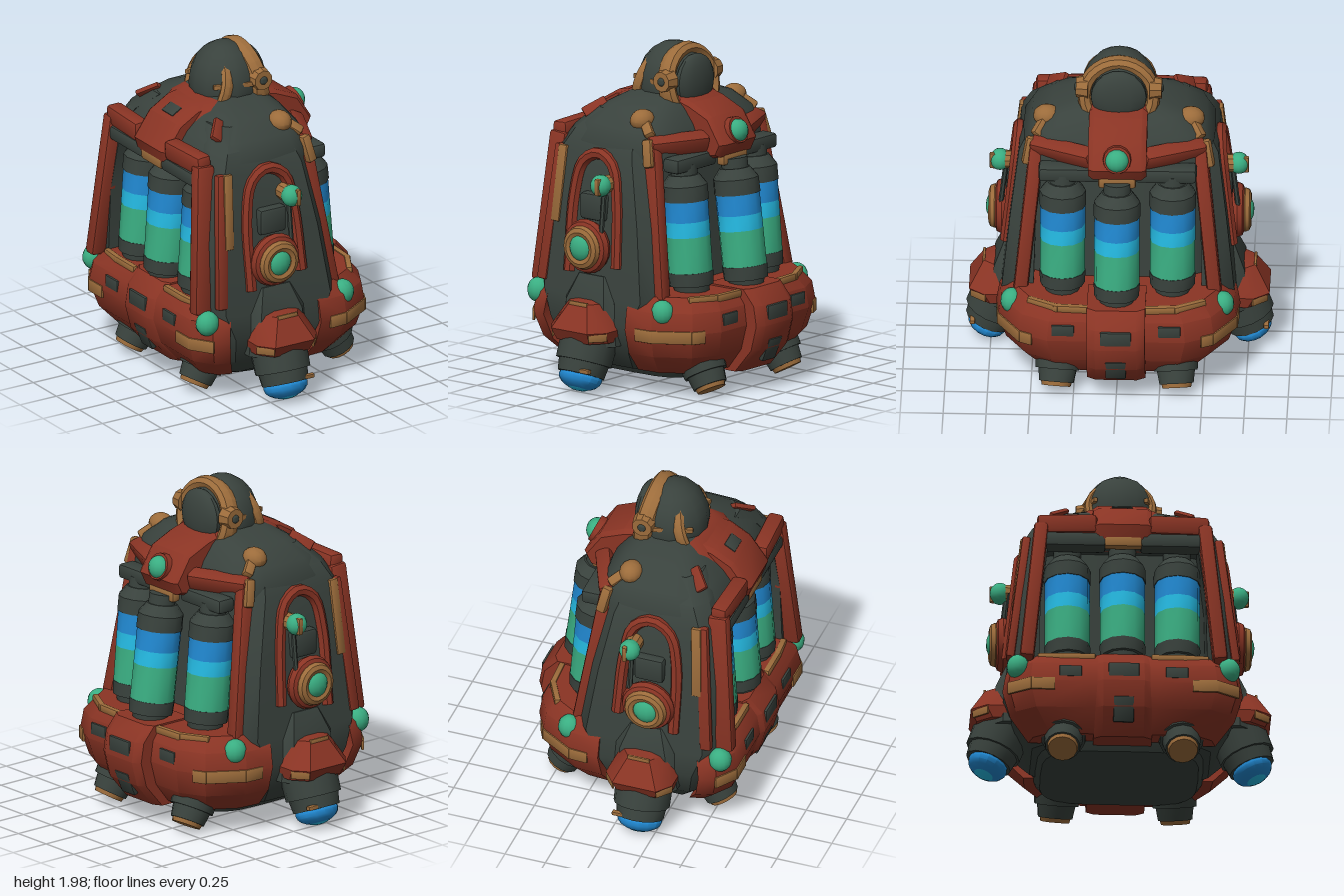
import * as THREE from 'three';
import { toCreasedNormals } from 'three/addons/utils/BufferGeometryUtils.js';
import { RoundedBoxGeometry } from 'three/addons/geometries/RoundedBoxGeometry.js';

const mat = (name, color) => Object.assign(new THREE.MeshStandardMaterial({ color }), { name });

export function createModel() {
  const root = new THREE.Group();
  root.name = 'pod';
  const red = mat('rust red', 0x8a3424), dark = mat('dark metal', 0x39423d), brass = mat('brass', 0x9c6c3b);
  const green = mat('green glow', 0x3aae82), blue = mat('blue glow', 0x2189d2), cyan = mat('cyan glow', 0x25bbe4);
  const V = (x, y, z) => new THREE.Vector3(x, y, z);

  const add = (name, geo, material, pos) => {
    const m = new THREE.Mesh(toCreasedNormals(geo, 0.6), material);
    m.name = name;
    if (pos) m.position.copy(pos);
    root.add(m);
    return m;
  };
  const aim = (m, p, q) => {
    m.position.copy(p).lerp(q, 0.5);
    m.quaternion.setFromUnitVectors(V(0, 1, 0), q.clone().sub(p).normalize());
    return m;
  };
  // rounded bar and tapered cylinder between two points
  const beam = (name, p, q, w, d, material) =>
    aim(add(name, new RoundedBoxGeometry(w, p.distanceTo(q), d, 1, Math.min(w, d) * 0.25), material), p, q);
  const rod = (name, p, q, rp, rq, material, sides = 14) =>
    aim(add(name, new THREE.CylinderGeometry(rq, rp, p.distanceTo(q), sides), material), p, q);
  const box = (name, w, h, d, material, x, y, z) =>
    add(name, new RoundedBoxGeometry(w, h, d, 1, Math.min(w, h, d) * 0.25), material, V(x, y, z));
  // level strip between two points of one height
  const strip = (name, p, q, h, t, material) => {
    const c = p.clone().lerp(q, 0.5);
    box(name, p.distanceTo(q) + t, h, t, material, c.x, c.y, c.z).rotation.y = Math.atan2(p.z - q.z, q.x - p.x);
  };
  const ball = (name, rx, ry, rz, material, x, y, z) =>
    add(name, new THREE.SphereGeometry(1, 14, 10).scale(rx, ry, rz), material, V(x, y, z));

  // skin over stacked rings of points, closed at both ends, facing outwards
  const loft = (name, rings, material) => {
    const n = rings[0].length, tris = [];
    const mid = r => r.reduce((a, p) => a.add(p), V(0, 0, 0)).divideScalar(n);
    const first = rings[0], last = rings[rings.length - 1];
    const c0 = mid(first), c1 = mid(last);
    for (let i = 0; i < n; i++) {
      const j = (i + 1) % n;
      for (let k = 0; k + 1 < rings.length; k++) {
        const a = rings[k], b = rings[k + 1];
        tris.push([a[i], b[i], a[j]], [a[j], b[i], b[j]]);
      }
      tris.push([c0, first[i], first[j]], [c1, last[j], last[i]]);
    }
    const volume = tris.reduce((s, [a, b, c]) => s + a.clone().sub(c0).dot(b.clone().sub(c0).cross(c.clone().sub(c0))), 0);
    const pts = tris.flatMap(([a, b, c]) => (volume > 0 ? [a, b, c] : [a, c, b]));
    return add(name, new THREE.BufferGeometry().setFromPoints(pts), material);
  };
  // rounded rectangular section: height, x range, half depth
  const oval = ([y, x0, x1, zh]) => Array.from({ length: 28 }, (_, i) => {
    const t = i / 28 * Math.PI * 2, f = v => Math.sign(v) * Math.sqrt(Math.abs(v));
    return V((x0 + x1) / 2 + (x1 - x0) / 2 * f(Math.cos(t)), y, zh * f(Math.sin(t)));
  });

  // hull
  loft('belly', [[0.1, -0.4, 0.34, 0.46], [0.2, -0.46, 0.39, 0.53], [0.35, -0.52, 0.46, 0.6],
    [0.58, -0.55, 0.42, 0.62]].map(oval), dark);
  loft('core', [[0.55, -0.4, 0.19, 0.55], [1.45, -0.4, 0.12, 0.52]].map(oval), dark);
  loft('roof', [[1.36, -0.55, 0.25, 0.56], [1.46, -0.53, 0.24, 0.56], [1.56, -0.46, 0.2, 0.51],
    [1.65, -0.36, 0.13, 0.39], [1.72, -0.25, 0.05, 0.2]].map(oval), dark);
  const face = y => 0.737 - 0.112 * y;
  for (const s of [1, -1]) {
    loft('endWall', [[0.14, -0.4, 0.1, 0.52], [0.25, -0.48, 0.15, 0.62], [0.42, -0.52, 0.2, 0.69], [0.58, -0.58, 0.28, 0.675],
      [1, -0.57, 0.22, 0.63], [1.4, -0.53, 0.14, 0.58], [1.52, -0.47, 0.1, 0.52], [1.63, -0.38, 0.06, 0.4]].map(([y, a, b, z]) => {
      const zi = Math.min(0.49, z - 0.15);
      return [[a, zi], [a, z - 0.08], [a + 0.07, z], [b - 0.07, z], [b, z - 0.08], [b, zi]].map(([x, w]) => V(x, y, s * w));
    }), dark);
  }

  // armoured base, one shell on each long side
  const levels = [[0.15, 0.8], [0.27, 0.96], [0.42, 1.03], [0.54, 1], [0.62, 0.9]];
  const half = { 1: [[0.12, 0.69], [0.3, 0.675], [0.5, 0.55], [0.58, 0.39]], [-1]: [[-0.48, 0.68], [-0.58, 0.65], [-0.66, 0.53], [-0.66, 0.2]] };
  for (const d of [1, -1]) {
    const outline = [...half[d], ...half[d].slice().reverse().map(([x, z]) => [x, -z])];
    loft('baseArmour', levels.map(([y, k]) => outline.map(([x, z]) => V(x * k, y, z * k))), red);
    loft('baseCentreBlock', [[0.13, 0.54], [0.27, 0.66], [0.42, 0.7], [0.54, 0.68], [0.63, 0.6]].map(([y, x]) =>
      [[0.3, -0.17], [x - 0.03, -0.17], [x, -0.12], [x, 0.12], [x - 0.03, 0.17], [0.3, 0.17]].map(([a, z]) => V(d * a, y, z))), red);
    box('centreSlot', 0.03, 0.09, 0.18, dark, d * 0.682, 0.49, 0);
    beam('lowerVent', V(d * 0.61, 0.19, 0), V(d * 0.668, 0.33, 0), 0.03, 0.12, dark);
    for (const s of [1, -1]) {
      box('sideSlot', 0.02, 0.07, 0.13, dark, d > 0 ? 0.585 : -0.667, 0.485, s * 0.31);
      // brass strips round the corners
      const [p, q, r] = half[d].slice(1).map(([x, z]) => V(x * 1.026, 0.4, s * z * 1.026));
      strip('cornerTrim', p, q, 0.075, 0.015, brass);
      strip('cornerTrim', q, q.clone().lerp(r, 0.4), 0.075, 0.015, brass);
      if (d > 0) strip('cornerTrim', V(0.2, 0.4, s * 0.699), p, 0.075, 0.015, brass);
      ball('cornerLamp', 0.07, 0.075, 0.065, green, d > 0 ? 0.33 : -0.6, 0.535, s * 0.615);
      // sill trim along the upper edge
      const sill = d > 0 ? [V(0.54, 0.605, s * 0.18), V(0.53, 0.605, s * 0.35), V(0.45, 0.605, s * 0.5)]
        : [V(-0.6, 0.605, s * 0.18), V(-0.6, 0.605, s * 0.36), V(-0.59, 0.605, s * 0.48)];
      strip('sillTrim', sill[0], sill[1], 0.045, 0.035, brass);
      strip('sillTrim', sill[1], sill[2], 0.045, 0.035, brass);
      // small splayed feet
      const top = d > 0 ? V(0.33, 0.33, s * 0.33) : V(-0.37, 0.33, s * 0.33);
      const end = d > 0 ? V(0.475, 0.065, s * 0.35) : V(-0.52, 0.065, s * 0.35);
      const along = t => top.clone().lerp(end, t);
      rod('foot', top, along(0.72), 0.15, 0.13, dark);
      rod('footCollar', along(0.62), along(0.97), 0.118, 0.102, dark);
      rod('footPad', along(0.95), along(1.05), 0.093, 0.085, brass);
    }
  }

  // window frames with three glowing canisters on each long side
  for (const d of [1, -1]) {
    const at = (y, z) => V(d > 0 ? 0.355 - 0.155 * y : -0.66 + 0.08 * y, y, z);
    for (const s of [1, -1]) {
      beam('framePost', at(0.58, s * 0.565), at(1.47, s * 0.475), 0.12, 0.085, red);
      const bar = V(d > 0 ? 0.28 : -0.56, 1.47, s * 0.15);
      beam('frameTop', at(1.47, s * 0.5), bar, 0.1, 0.12, red);
      beam('frameTopLip', V(bar.x - d * 0.02, 1.37, s * 0.46), V(bar.x - d * 0.02, 1.37, s * 0.1), 0.12, 0.09, dark);
    }
    for (const k of [-1, 0, 1]) {
      const mid = k === 0;
      const lo = d > 0 ? (mid ? 0.46 : 0.31) : (mid ? -0.5 : -0.47);
      const hi = d > 0 ? (mid ? 0.37 : 0.25) : (mid ? -0.45 : -0.42);
      const p = y => V(lo + (hi - lo) * (y - 0.6) / 0.7, y, k * 0.32);
      const part = (name, y0, y1, r0, r1, m) => rod(name, p(y0), p(y1), r0, r1, m, 12);
      part('canisterBase', 0.58, 0.66, 0.1, 0.11, dark);
      part('canisterBase', 0.65, 0.73, 0.13, 0.135, dark);
      part('canisterLiquid', 0.73, 0.94, 0.132, 0.132, green);
      part('canisterMiddle', 0.94, 1.03, 0.132, 0.132, cyan);
      part('canisterTop', 1.03, 1.15, 0.132, 0.132, blue);
      part('canisterCap', 1.15, 1.24, 0.137, 0.135, dark);
      part('canisterCap', 1.24, 1.3, 0.135, 0.09, dark);
      part('canisterNeck', 1.29, 1.36, 0.08, 0.08, dark);
    }
  }

  // strap over the roof
  const strap = new THREE.Shape([[-0.2, 1.69], [-0.38, 1.66], [-0.5, 1.59], [-0.6, 1.45], [-0.58, 1.39], [-0.45, 1.38],
    [-0.3, 1.5], [0.1, 1.5], [0.25, 1.38], [0.36, 1.4], [0.39, 1.46], [0.3, 1.6], [0.16, 1.66], [0.05, 1.69]]
    .map(([x, y]) => new THREE.Vector2(x, y)));
  add('roofStrap', new THREE.ExtrudeGeometry(strap, { depth: 0.28, bevelSize: 0.02, bevelThickness: 0.03, bevelSegments: 1 }), red, V(0, 0, -0.14));
  loft('strapCollar', [[1.6, -0.43, 0.14, 0.25], [1.67, -0.37, 0.12, 0.24], [1.71, -0.29, 0.09, 0.2]].map(oval), red);
  beam('strapPlate', V(-0.485, 1.617, 0), V(-0.42, 1.655, 0), 0.02, 0.12, dark);
  rod('strapLampRing', V(0.33, 1.5, 0), V(0.4, 1.53, 0), 0.09, 0.08, red);
  ball('strapLamp', 0.06, 0.07, 0.07, green, 0.39, 1.52, 0);
  box('strapClip', 0.06, 0.07, 0.22, brass, 0.35, 1.36, 0);
  box('strapClip', 0.06, 0.07, 0.22, brass, -0.57, 1.36, 0);

  // roof dome with a hoop and a dark window at each end
  ball('dome', 0.21, 0.25, 0.22, dark, -0.09, 1.74, 0);
  const hoop = (x, y, r, t, tilt) => {
    const g = new THREE.TorusGeometry(r, t, 8, 28).rotateY(Math.PI / 2).scale(1.4, 1, 1).rotateZ(tilt);
    add('domeHoop', g, brass, V(x, y, 0));
  };
  hoop(0.025, 1.755, 0.2, 0.042, 0.18);
  hoop(-0.2, 1.745, 0.185, 0.028, -0.3);
  ball('domeWindow', 0.06, 0.165, 0.165, dark, 0.07, 1.77, 0);

  for (const s of [1, -1]) {
    const on = (x, y, o = 0) => V(x, y, s * (face(y) + o));
    rod('domeHinge', V(0.02, 1.8, s * 0.18), V(0.02, 1.8, s * 0.25), 0.075, 0.06, brass, 10);
    ball('domeRivet', 0.025, 0.025, 0.012, dark, 0.02, 1.8, s * 0.25);
    strip('domeBand', V(-0.25, 1.78, s * 0.15), V(-0.03, 1.78, s * 0.215), 0.03, 0.025, brass);
    // brass bracket from the roof down to the window frame
    ball('roofKnob', 0.07, 0.065, 0.08, brass, 0.02, 1.605, s * 0.42);
    beam('roofRib', V(0.04, 1.6, s * 0.42), V(0.13, 1.53, s * 0.48), 0.07, 0.06, brass);
    beam('bracketLeg', V(0.13, 1.52, s * 0.5), V(0.165, 1.36, s * 0.53), 0.07, 0.06, brass);
    beam('roofStripe', V(-0.42, 1.58, s * 0.42), V(-0.33, 1.65, s * 0.32), 0.07, 0.03, red);

    // arched panel on each end wall
    const arch = [[-0.33, 0.7], [-0.33, 1.15], [-0.28, 1.35], [-0.17, 1.41], [-0.06, 1.35], [-0.01, 1.15], [0.02, 0.76]].map(([x, y]) => on(x, y, 0.005));
    add('arch', new THREE.TubeGeometry(new THREE.CatmullRomCurve3(arch), 30, 0.036, 7), red);
    beam('endTrim', on(-0.46, 0.97), on(-0.44, 1.42), 0.06, 0.03, brass);
    beam('endStripe', on(-0.53, 0.62, -0.01), on(-0.47, 1.42, -0.02), 0.07, 0.05, red);
    box('archBlock', 0.18, 0.16, 0.08, dark, -0.17, 1.1, s * 0.62);

    // round lamp, upper lamp and its post
    const ring = (r, t, o, m) => add('lampRing', new THREE.TorusGeometry(r, t, 8, 20), m, on(-0.18, 0.87, o));
    ring(0.12, 0.042, 0.045, red);
    ring(0.095, 0.035, 0.09, brass);
    rod('lampSeat', on(-0.18, 0.87, -0.03), on(-0.18, 0.87, 0.08), 0.13, 0.1, dark);
    ball('roundLamp', 0.085, 0.088, 0.06, green, -0.185, 0.87, s * 0.722);
    rod('lampPost', on(-0.07, 0.95, 0.06), on(-0.07, 1.22, 0.06), 0.015, 0.015, dark, 6);
    rod('upperLampArm', on(-0.07, 1.25, -0.03), on(-0.07, 1.25, 0.08), 0.05, 0.055, brass, 10);
    ball('upperLamp', 0.063, 0.065, 0.06, green, -0.07, 1.25, s * 0.695);
    beam('upperLampBand', V(-0.055, 1.2, s * 0.725), V(-0.055, 1.3, s * 0.725), 0.03, 0.06, brass);

    // big end leg with red hood and glowing tip
    loft('legHousing', [[0.3, 0.2, 0.74], [0.55, 0.18, 0.73], [0.7, 0.13, 0.67]].map(([y, w, z]) =>
      [[-w, 0.5], [-w, z - 0.05], [-w + 0.04, z], [w - 0.04, z], [w, z - 0.05], [w, 0.5]].map(([x, q]) => V(x - 0.16, y, s * q))), dark);
    loft('legHood', [[0.33, 0.19, 0.84], [0.4, 0.205, 0.875], [0.55, 0.135, 0.79], [0.57, 0.115, 0.7]].map(([y, w, z]) =>
      [[-w, 0.6], [-w, z - 0.09], [-w + 0.07, z], [w - 0.07, z], [w, z - 0.09], [w, 0.6]].map(([x, q]) => V(x - 0.16, y, s * q))), red);
    strip('hoodTrim', V(-0.22, 0.545, s * 0.79), V(-0.1, 0.545, s * 0.79), 0.03, 0.015, brass);
    for (const e of [1, -1]) strip('hoodSideTrim', V(-0.16 + e * 0.198, 0.375, s * 0.78), V(-0.16 + e * 0.135, 0.375, s * 0.857), 0.055, 0.012, brass);
    rod('leg', V(-0.16, 0.4, s * 0.66), V(-0.16, 0.19, s * 0.74), 0.17, 0.165, dark);
    rod('legCuff', V(-0.16, 0.2, s * 0.735), V(-0.16, 0.12, s * 0.767), 0.15, 0.138, dark);
    ball('legTip', 0.135, 0.075, 0.12, blue, -0.16, 0.105, s * 0.77).rotation.x = -s * 0.4;
    ball('legTipCore', 0.09, 0.045, 0.08, cyan, -0.16, 0.073, s * 0.783).rotation.x = -s * 0.4;
    box('legTrim', 0.16, 0.025, 0.03, brass, -0.1, 0.17, s * 0.855);
  }
  return root;
}
